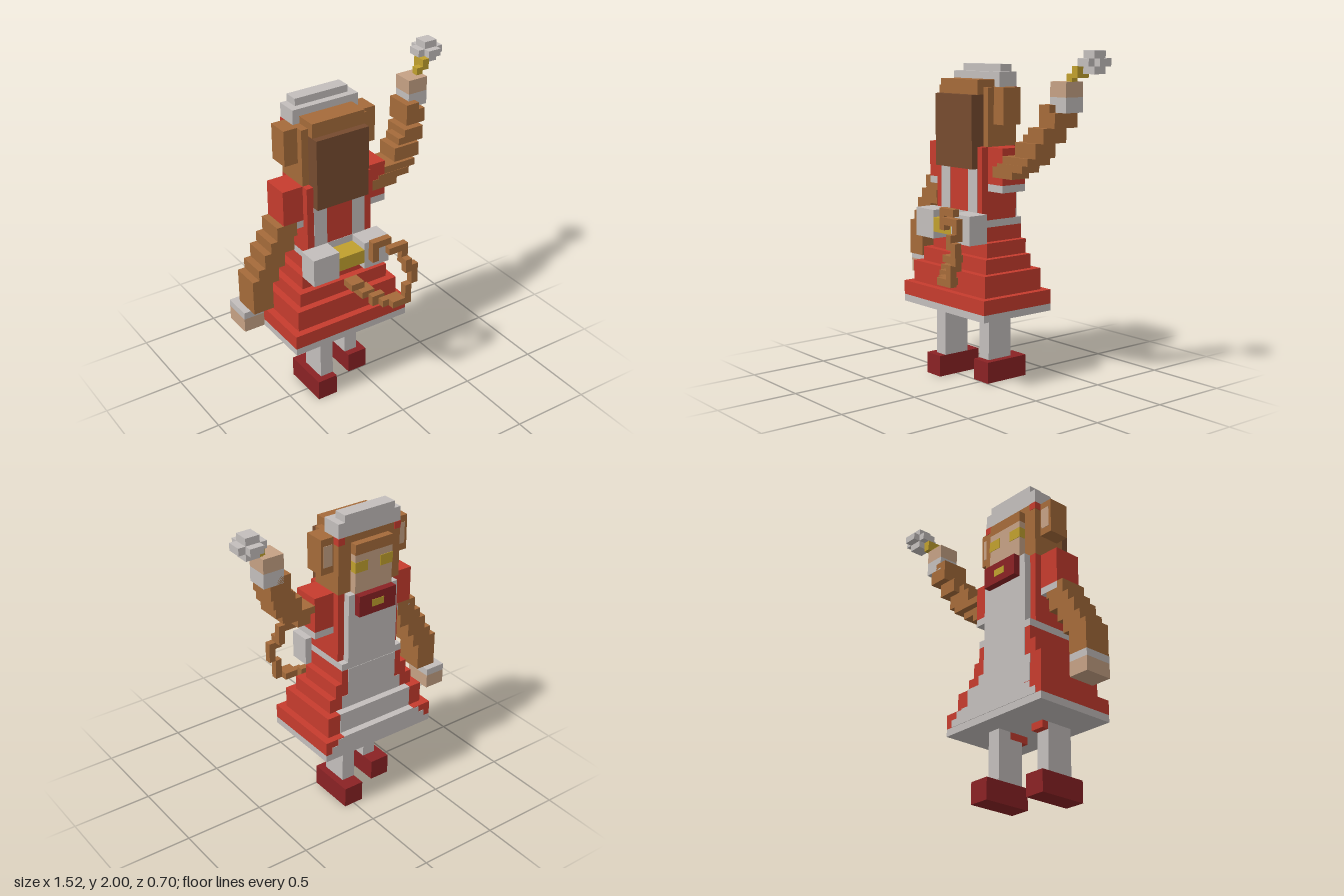
import * as THREE from 'three';

const V = 1 / 23; // size of one block

const mat = (name, color) => {
  const m = new THREE.MeshStandardMaterial({ color });
  m.name = name;
  return m;
};

export function createModel() {
  const model = new THREE.Group();
  const red = mat('red cloth', 0xc63c2e);
  const darkRed = mat('dark red', 0x8a2224);
  const white = mat('off white cloth', 0xc3bebc);
  const brown = mat('brown fur', 0xa56b3a);
  const darkBrown = mat('dark hair', 0x764b2f);
  const skin = mat('skin', 0xc5a184);
  const gold = mat('gold', 0xc0a02e);

  // Each block is [x0, x1, y0, y1, z0, z1] on the block grid
  const part = (name, material, ...blocks) => {
    const group = new THREE.Group();
    group.name = name;
    for (const [x0, x1, y0, y1, z0, z1] of blocks) {
      const mesh = new THREE.Mesh(
        new THREE.BoxGeometry((x1 - x0) * V, (y1 - y0) * V, (z1 - z0) * V), material);
      mesh.position.set(((x0 + x1) / 2 - 17.5) * V, (y0 + y1) / 2 * V, ((z0 + z1) / 2 - 8) * V);
      mesh.name = name;
      group.add(mesh);
    }
    model.add(group);
  };
  // Block plus its mirror across the body's middle (x = 14)
  const both = ([x0, x1, ...rest]) => [[x0, x1, ...rest], [28 - x1, 28 - x0, ...rest]];

  // Legs in mid-step
  part('shoe', darkRed, [9, 12, 0, 3, 4, 11], [16, 19, 0, 3, 1, 8]);
  part('leg', white, [10, 12, 3, 10, 6, 10], [16, 18, 3, 9, 3, 7], [16, 18, 9, 10, 3, 5]);
  part('legTrim', red, [16, 18, 9, 10, 5, 8], [10, 12, 9, 10, 5, 6]);

  // Stepped skirt with white hem
  part('hem', white, [5, 23, 10, 11, 0, 12]);
  part('skirt', red,
    [5, 23, 11, 13, 0, 12], [6, 22, 13, 16, 1, 11], [7, 21, 16, 18, 2, 10],
    [8, 20, 18, 20, 2, 9], [9, 19, 20, 22, 2, 9]);

  // Apron laid over each skirt step
  const e = 0.06;
  part('apron', white,
    [6, 22, 11, 12, -e, 0.5], [7, 21, 12, 12.9, -e, 0.5], [8, 20, 12.5, 13 + e, -e, 1.1],
    [8, 20, 13, 16 + e, 1 - e, 2.1], [9, 19, 16, 18, 2 - e, 2.5], [10, 18, 18, 22, 2 - e, 2.5]);

  // Bodice, bib and straps
  part('waistband', white, [9, 19, 22, 23, 2, 9]);
  part('bodice', red, [9, 19, 23, 33, 3, 9]);
  part('bib', white, [10, 18, 23, 33, 2, 3]);
  part('strap', white, ...both([10, 12, 23, 30, 8.5, 9 + e]), [12, 16, 23, 24, 8.5, 9 + e]);
  part('apronBow', white, ...both([8, 12, 20, 24, 9, 12]));
  part('apronKnot', gold, [12, 16, 21, 23, 9, 12]);
  part('neckBow', darkRed, [11, 17, 30, 33, 1, 2]);
  part('neckBowPin', gold, [13, 15, 31, 32, 1 - e, 1.1]);

  // Sleeves
  part('sleeve', red, ...both([6, 9, 28, 33, 4, 8]));
  part('cuff', white, ...both([6, 9, 27, 28, 4, 8]));

  // Lowered arm
  part('loweredArm', brown,
    [5, 8, 26, 28, 4, 8], [4, 7.5, 24, 26, 4, 8], [3, 6, 22, 24.5, 4, 8],
    [2, 5, 20, 22.5, 4, 8], [1, 4, 16, 21, 4, 8]);
  part('loweredWrist', white, [0, 3, 15, 16, 3, 7]);
  part('loweredHand', skin, [0, 3, 13, 15, 3, 7]);

  // Raised arm
  part('raisedArm', brown,
    [20, 24, 29, 30.5, 5, 8 + e], [21, 26, 30, 31, 5, 8 + e], [22, 27, 31, 32, 4, 8],
    [24, 28, 32, 34, 4, 7.5], [25, 28, 33, 35, 4, 7], [26, 29, 34, 36, 3, 7],
    [27, 30, 36, 38, 2, 6], [27, 29, 38, 39, 2, 6]);
  part('raisedWrist', white, [28, 31, 38, 40, 2, 5]);
  part('raisedHand', skin, [28, 31, 40, 42, 2, 5]);

  // Wand with a round tip
  part('wandHandle', gold, [30, 31, 42, 43, 3, 4], [31, 32, 42.5, 44, 2, 4]);
  part('wandTip', white,
    [31, 35, 44, 45, 1, 3], [32, 34, 44, 45, 0, 4], [32, 34, 43, 46, 1, 3]);

  // Head, face and hair
  part('head', brown, [9, 19, 33, 41, 3, 8], [10, 18, 40, 42, 6, 9]);
  part('backHair', darkBrown, [10, 18, 30, 40, 8, 10]);
  part('fringe', brown, [11, 17, 38.5, 40, 2, 3]);
  part('face', skin, [11, 17, 33, 38.5, 2, 3]);
  part('eye', gold, ...both([11 - e, 13, 36, 37.5, 2 - e, 2.9]));

  // Animal ears with pale insides
  part('ear', brown, ...both([7, 9, 36, 41, 4, 7]));
  part('innerEar', skin, ...both([7.4, 8.8, 37, 40, 4 - e, 4.1]));

  // Cap and its ribbons
  part('cap', white, [9, 19, 41, 43, 3, 6], [10, 18, 43, 44, 3, 5]);
  part('capRibbon', red, ...both([9 - e, 10, 40, 41, 3 - e, 4]));

  // Curling tail
  part('tail', brown,
    [14, 16, 17, 18, 10, 12], [15, 17, 16, 17, 11, 13], [16, 18, 15, 16.5, 13, 14],
    [17, 20, 15, 16, 14, 15], [18, 21, 15, 16, 15, 16], [20, 21, 16, 18, 15, 16],
    [21, 22, 18, 21, 15, 16], [20, 21, 20, 22, 15, 16], [20, 21, 21, 24, 14, 15],
    [18, 20, 23, 24, 14, 15], [16, 19, 24, 25, 13, 14], [16, 17, 22, 24, 13, 14]);

  return model;
}
